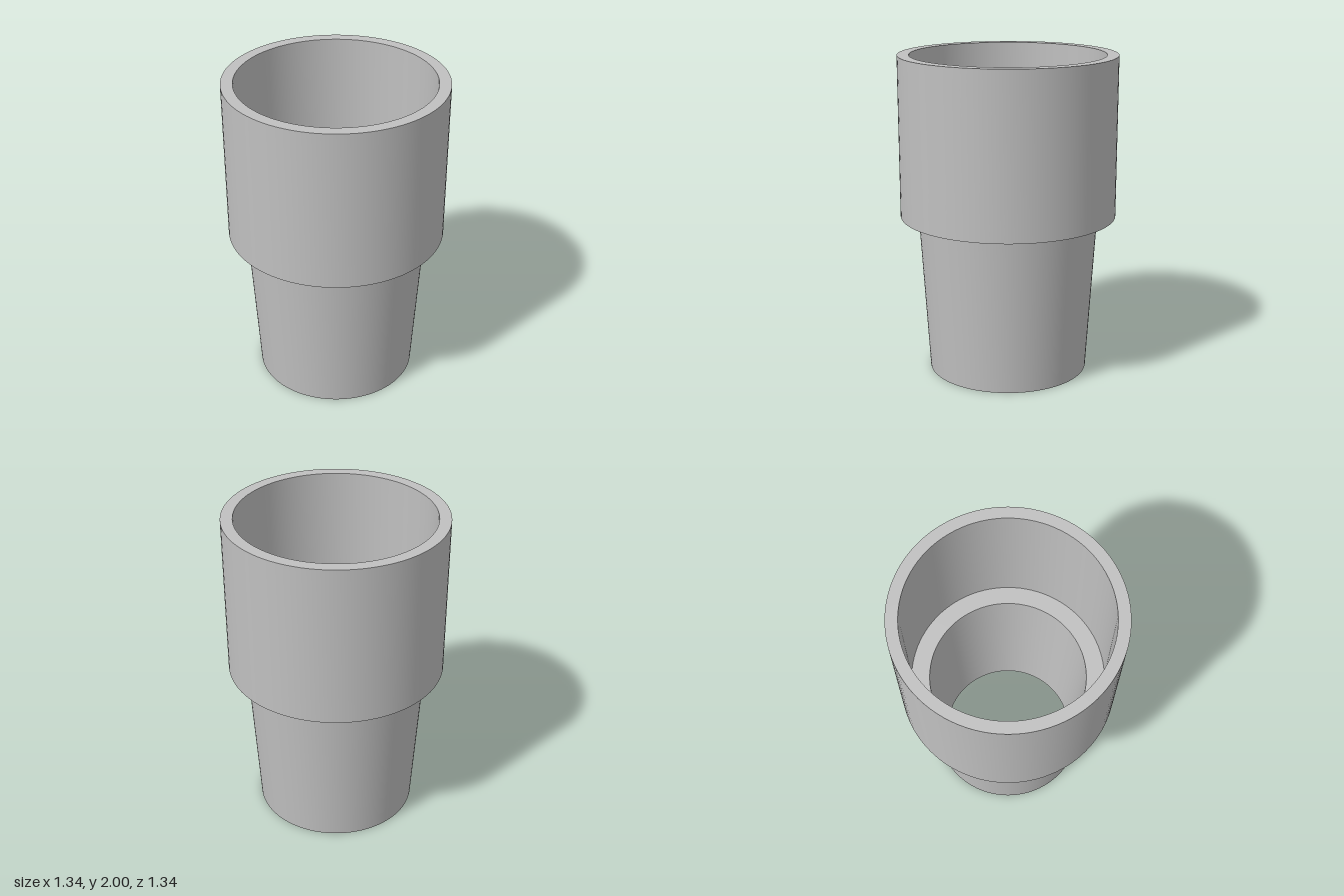
import * as THREE from 'three';
import { toCreasedNormals } from 'three/addons/utils/BufferGeometryUtils.js';

const SEGMENTS = 96;

// Turns a [radius, height] profile around the y axis, keeping rims sharp
function turned(name, profile, material) {
  const points = profile.map(([r, y]) => new THREE.Vector2(r, y));
  const geometry = toCreasedNormals(new THREE.LatheGeometry(points, SEGMENTS), 0.5);
  const mesh = new THREE.Mesh(geometry, material);
  mesh.name = name;
  return mesh;
}

export function createModel() {
  const group = new THREE.Group();
  group.name = 'hoseAdapter';

  const grey = new THREE.MeshStandardMaterial({ color: 0xc0c0c0 });
  grey.name = 'light grey';

  // Wide straight socket: underside shoulder, outer wall, rim, bore, inner ledge
  group.add(turned('socket', [
    [0.56, 1], [0.672, 1], [0.672, 2], [0.6, 2], [0.6, 1.07], [0.488, 1.07],
  ], grey));

  // Tapered spigot: inner wall, bottom rim, outer wall
  group.add(turned('spigot', [
    [0.488, 1.07], [0.484, 1], [0.428, 0], [0.5, 0], [0.56, 1],
  ], grey));

  return group;
}
